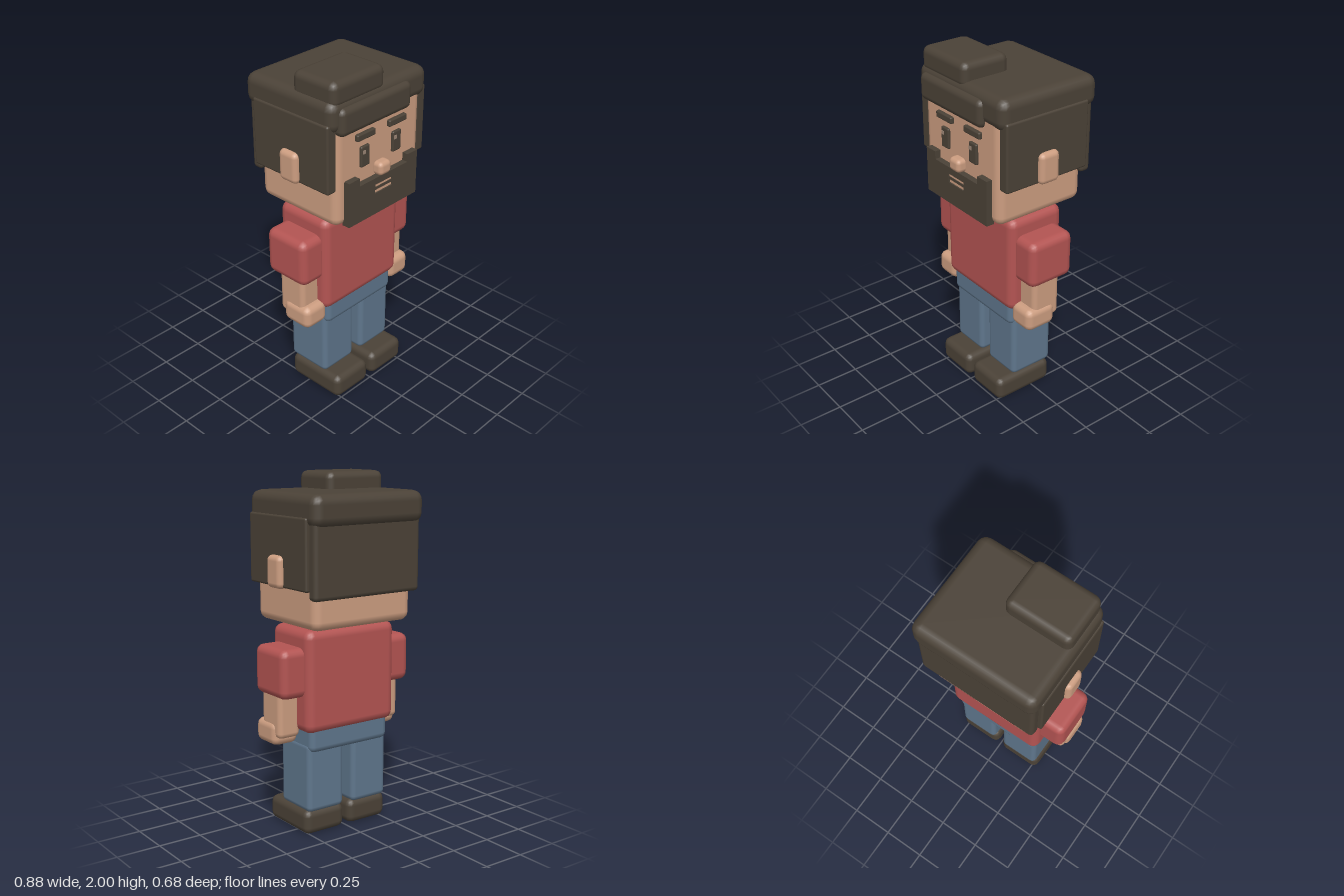
import * as THREE from 'three';
import { RoundedBoxGeometry } from 'three/addons/geometries/RoundedBoxGeometry.js';

function material(name, color) {
  const m = new THREE.MeshStandardMaterial({ color });
  m.name = name;
  return m;
}

export function createModel() {
  const skin = material('skin', 0xcc9d80);
  const shirt = material('shirt red', 0xb35452);
  const denim = material('denim blue', 0x5f768c);
  const hair = material('dark brown', 0x4b4237);
  const glint = material('eye glint', 0x9c8676);
  const model = new THREE.Group();
  model.name = 'blockMan';

  // Box given by its [min, max] range on each axis; radius 0 keeps sharp edges
  function block(name, mat, [x0, x1], [y0, y1], [z0, z1], radius = 0) {
    const size = [x1 - x0, y1 - y0, z1 - z0];
    const geometry = radius
      ? new RoundedBoxGeometry(...size, 2, Math.min(radius, Math.min(...size) * 0.48))
      : new THREE.BoxGeometry(...size);
    const mesh = new THREE.Mesh(geometry, mat);
    mesh.name = name;
    mesh.position.set((x0 + x1) / 2, (y0 + y1) / 2, (z0 + z1) / 2);
    model.add(mesh);
  }

  // Same block on both sides of the body
  function pair(name, mat, [x0, x1], y, z, radius) {
    block('left' + name, mat, [x0, x1], y, z, radius);
    block('right' + name, mat, [-x1, -x0], y, z, radius);
  }

  // Legs and feet
  pair('Shoe', hair, [0.015, 0.282], [0, 0.142], [-0.125, 0.252], 0.04);
  pair('Leg', denim, [0.03, 0.272], [0.135, 0.535], [-0.135, 0.142], 0.03);
  block('hips', denim, [-0.267, 0.267], [0.485, 0.66], [-0.155, 0.163], 0.035);

  // Torso and arms
  block('torso', shirt, [-0.3, 0.3], [0.6, 1.175], [-0.176, 0.183], 0.05);
  pair('Sleeve', shirt, [0.26, 0.438], [0.805, 1.08], [-0.138, 0.15], 0.045);
  pair('Forearm', skin, [0.275, 0.415], [0.57, 0.86], [-0.065, 0.115], 0.03);
  pair('Hand', skin, [0.265, 0.428], [0.525, 0.66], [-0.032, 0.162], 0.04);
  block('neck', skin, [-0.105, 0.105], [1.12, 1.24], [-0.1, 0.1], 0.02);

  // Head
  block('head', skin, [-0.327, 0.327], [1.187, 1.82], [-0.278, 0.285], 0.05);
  pair('Ear', skin, [0.3, 0.405], [1.395, 1.573], [-0.058, 0.07], 0.03);
  block('nose', skin, [-0.045, 0.045], [1.405, 1.482], [0.265, 0.337], 0.025);

  // Hair
  block('hairTop', hair, [-0.367, 0.367], [1.73, 1.905], [-0.338, 0.295], 0.055);
  pair('HairSide', hair, [0.31, 0.375], [1.402, 1.785], [-0.265, 0.272], 0.012);
  block('hairBack', hair, [-0.352, 0.352], [1.355, 1.83], [-0.314, -0.245], 0.025);
  block('fringe', hair, [-0.32, 0.215], [1.712, 1.866], [0.235, 0.32], 0.035);
  block('hairTuft', hair, [-0.343, 0.04], [1.86, 2], [-0.008, 0.285], 0.04);

  // Eyes and brows
  pair('Brow', hair, [0.054, 0.19], [1.648, 1.686], [0.275, 0.306], 0.008);
  pair('Eye', hair, [0.09, 0.155], [1.49, 1.607], [0.275, 0.3], 0.008);
  block('leftGlint', glint, [0.097, 0.117], [1.565, 1.585], [0.299, 0.303]);
  block('rightGlint', glint, [-0.145, -0.125], [1.565, 1.585], [0.299, 0.303]);

  // Beard with raised sideburns and an open mouth slot
  const outline = [
    [-0.268, 1.19], [0.268, 1.19], [0.268, 1.45], [0.188, 1.45],
    [0.188, 1.405], [-0.188, 1.405], [-0.188, 1.45], [-0.268, 1.45],
  ];
  const slot = [[-0.068, 1.314], [-0.068, 1.366], [0.068, 1.366], [0.068, 1.314]];
  const toPoints = (list) => list.map(([x, y]) => new THREE.Vector2(x, y));
  const shape = new THREE.Shape(toPoints(outline));
  shape.holes.push(new THREE.Path(toPoints(slot)));
  const beard = new THREE.Mesh(
    new THREE.ExtrudeGeometry(shape, { depth: 0.048, bevelEnabled: false }), hair);
  beard.name = 'beard';
  beard.position.z = 0.272;
  model.add(beard);

  // Lips fill the slot, with a dark line between them
  block('lips', skin, [-0.068, 0.068], [1.314, 1.366], [0.28, 0.312]);
  block('mouthLine', hair, [-0.068, 0.068], [1.332, 1.348], [0.31, 0.316]);

  return model;
}
